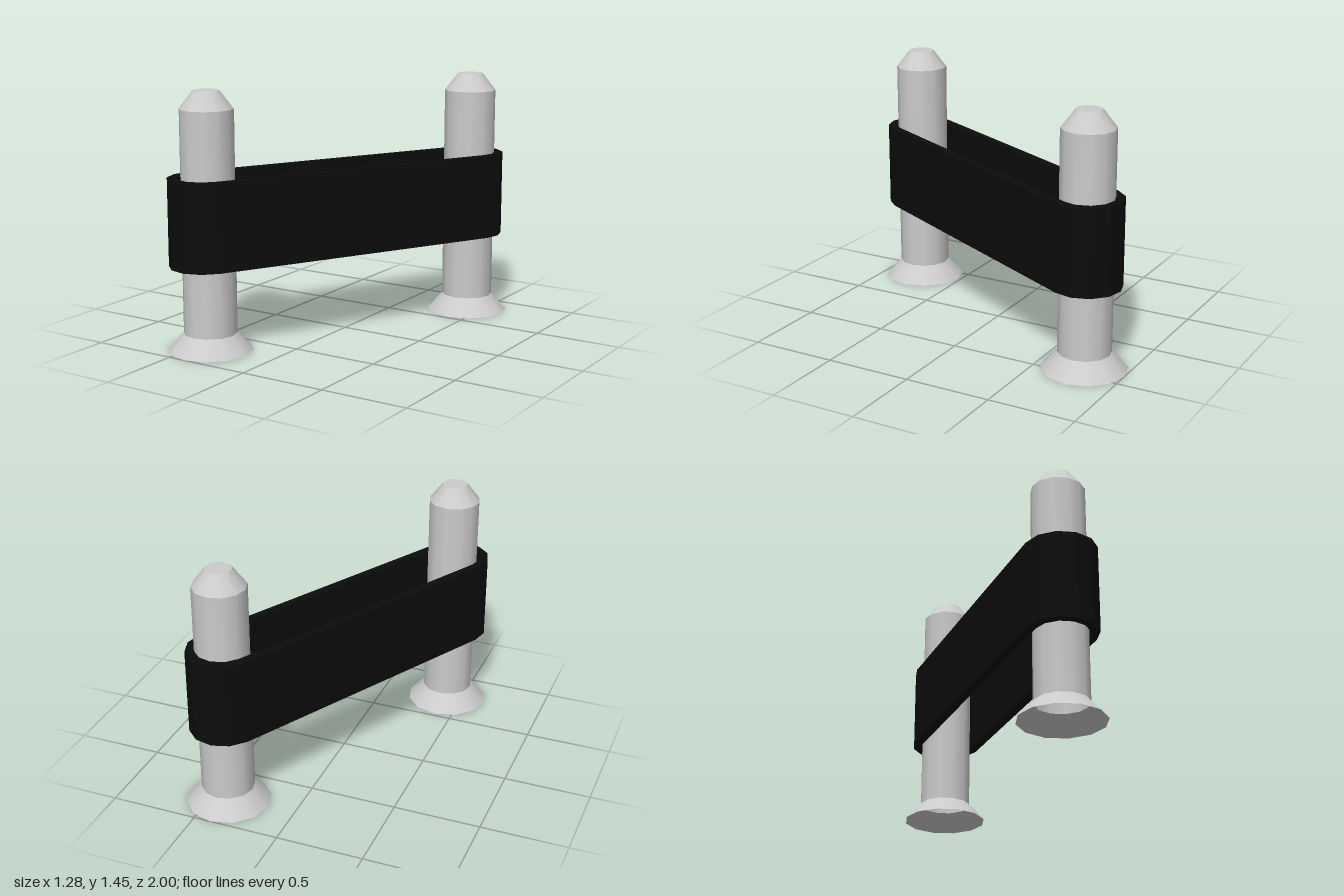
import * as THREE from 'three';

const steel = new THREE.MeshStandardMaterial({ color: 0xcccccc, side: THREE.DoubleSide });
const rubber = new THREE.MeshStandardMaterial({ color: 0x0c0c0c });

const SIDES = 12;
const ends = [{ name: 'frontPost', x: -0.4, z: 0.76 }, { name: 'backPost', x: 0.4, z: -0.76 }];

// One open-ended ring section of a post, from height y0 to y1
function section(name, r0, r1, y0, y1) {
  const geometry = new THREE.CylinderGeometry(r1, r0, y1 - y0, SIDES, 1, true);
  const mesh = new THREE.Mesh(geometry, steel);
  mesh.name = name;
  mesh.position.y = (y0 + y1) / 2;
  return mesh;
}

// Flared foot, straight shaft, chamfered tip with a flat cap; hollow underneath
function createPost({ name, x, z }) {
  const post = new THREE.Group();
  post.name = name;
  post.position.set(x, 0, z);
  const cap = new THREE.Mesh(new THREE.CircleGeometry(0.073, SIDES).rotateX(-Math.PI / 2), steel);
  cap.name = 'tipCap';
  cap.position.y = 1.45;
  post.add(
    section('flaredFoot', 0.24, 0.15, 0, 0.1),
    section('shaft', 0.15, 0.15, 0.1, 1.35),
    section('tip', 0.15, 0.073, 1.35, 1.45),
    cap
  );
  return post;
}

// Outline of the band: two half rounds joined by straight runs
function bandOutline(radius, halfLength) {
  const points = [];
  for (const side of [1, -1]) {
    for (let i = 0; i <= 6; i++) {
      const a = -Math.PI / 2 + (i * Math.PI) / 6;
      points.push(new THREE.Vector2(side * (halfLength + radius * Math.cos(a)), side * radius * Math.sin(a)));
    }
  }
  return points;
}

// Band stretched around both posts
function createBand() {
  const front = new THREE.Vector2(-0.413, 0.78);
  const back = new THREE.Vector2(0.4, -0.762);
  const half = front.distanceTo(back) / 2;
  const shape = new THREE.Shape(bandOutline(0.2, half));
  shape.holes.push(new THREE.Path(bandOutline(0.15, half)));
  const geometry = new THREE.ExtrudeGeometry(shape, { depth: 0.495, bevelEnabled: false });
  geometry.rotateX(-Math.PI / 2);
  geometry.rotateY(Math.atan2(front.y - back.y, back.x - front.x));
  const band = new THREE.Mesh(geometry, rubber);
  band.name = 'band';
  band.position.set((front.x + back.x) / 2, 0.48, (front.y + back.y) / 2);
  return band;
}

export function createModel() {
  const model = new THREE.Group();
  model.name = 'postsWithBand';
  ends.forEach((end) => model.add(createPost(end)));
  model.add(createBand());
  return model;
}
